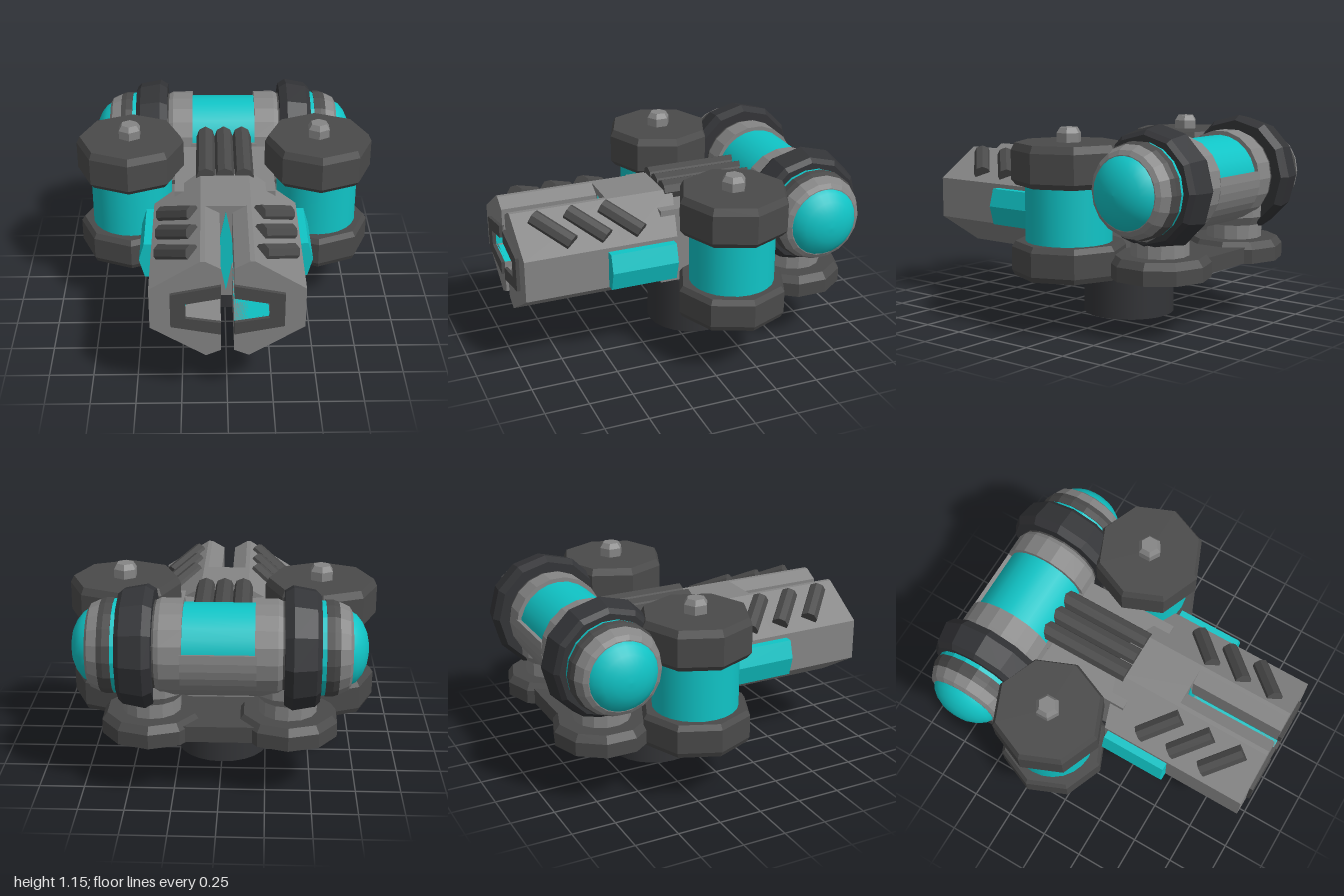
import * as THREE from 'three';

const mat = (color, flatShading = true) =>
  new THREE.MeshStandardMaterial({ color, flatShading, side: THREE.DoubleSide });
const TEAL = mat(0x10c4c6), TEAL_SMOOTH = mat(0x10c4c6, false);
const LIGHT = mat(0x858585), DARK = mat(0x4a4a4a), BLACK = mat(0x333437), BLACK_SMOOTH = mat(0x333437, false);

export function createModel() {
  const model = new THREE.Group();

  const add = (name, geometry, material, x = 0, y = 0, z = 0, parent = model) => {
    const mesh = new THREE.Mesh(geometry, material);
    mesh.name = name;
    mesh.position.set(x, y, z);
    parent.add(mesh);
    return mesh;
  };
  // turned part from [radius, height] pairs
  const lathe = (profile, sides) =>
    new THREE.LatheGeometry(profile.map(([r, h]) => new THREE.Vector2(r, h)), sides);
  // prism along z from [x, y] pairs, side = -1 mirrors it
  const prism = (points, z0, z1, side = 1) => {
    const shape = new THREE.Shape(points.map(([x, y]) => new THREE.Vector2(x * side, y)));
    const geometry = new THREE.ExtrudeGeometry(shape, { depth: z1 - z0, bevelEnabled: false });
    return geometry.translate(0, 0, z0);
  };
  const box = (w, h, d) => new THREE.BoxGeometry(w, h, d);

  // pedestal and lower frame
  add('pedestal', new THREE.CylinderGeometry(0.265, 0.265, 0.34, 24), BLACK_SMOOTH, 0, 0.17, -0.16);
  add('frontCrossPlate', box(0.7, 0.07, 0.3), BLACK, 0, 0.347, -0.16);
  add('rearCrossPlate', box(0.7, 0.09, 0.4), DARK, 0, 0.378, -0.64);
  add('spinePlate', box(0.4, 0.08, 0.5), DARK, 0, 0.372, -0.4);

  // side canisters between octagonal caps, and rear feet
  const cap = [[0, 0], [0.3, 0], [0.315, 0.03], [0.315, 0.16], [0.295, 0.19], [0, 0.19]];
  const topCap = [[0, 0], [0.29, 0], [0.315, 0.03], [0.315, 0.19], [0.295, 0.23], [0, 0.23]];
  const nut = [[0, 0], [0.07, 0], [0.07, 0.05], [0.05, 0.08], [0, 0.08]];
  const foot = [[0, 0], [0.28, 0], [0.28, 0.08], [0.25, 0.12], [0, 0.12]];
  const neck = [[0.16, 0], [0.16, 0.08], [0.2, 0.13], [0.2, 0.2]];
  for (const side of [1, -1]) {
    const x = side * 0.555, z = -0.17;
    add('lowerCap', lathe(cap, 8), DARK, x, 0.31, z);
    add('canister', new THREE.CylinderGeometry(0.24, 0.24, 0.33, 24), TEAL_SMOOTH, x, 0.655, z);
    add('upperCap', lathe(topCap, 8), DARK, x, 0.81, z);
    add('capNut', lathe(nut, 6), LIGHT, x, 1.04, z);
    add('rearFoot', lathe(foot, 10), DARK, side * 0.37, 0.33, -0.65);
    add('rearNeck', lathe(neck, 14), LIGHT, side * 0.37, 0.45, -0.65);
  }

  // rear capsule lying along x
  const capsule = new THREE.Group();
  capsule.name = 'rearCapsule';
  capsule.position.set(0, 0.815, -0.66);
  model.add(capsule);
  const core = new THREE.CylinderGeometry(0.237, 0.237, 0.42, 24).rotateZ(Math.PI / 2);
  add('capsuleCore', core, TEAL_SMOOTH, 0, 0, 0, capsule);
  // shell with an open window over the top
  const shell = new THREE.Shape();
  const a0 = Math.PI * 0.94, a1 = Math.PI * 2.06;
  shell.absarc(0, 0, 0.262, a0, a1, false);
  shell.absarc(0, 0, 0.22, a1, a0, true);
  const shellGeometry = new THREE.ExtrudeGeometry(shell, { depth: 0.4, bevelEnabled: false, curveSegments: 10 });
  add('capsuleShell', shellGeometry.translate(0, 0, -0.2).rotateY(Math.PI / 2), LIGHT, 0, 0, 0, capsule);

  const dome = [[0.2, 0.69], [0.18, 0.725], [0.14, 0.757], [0.09, 0.78], [0.04, 0.79], [0, 0.792]];
  const bands = [
    ['collar', [[0.22, 0.19], [0.262, 0.19], [0.262, 0.31], [0.25, 0.335], [0.2, 0.335]], 18, LIGHT],
    ['groove', [[0.25, 0.33], [0.25, 0.36]], 18, DARK],
    ['bumperRing', [[0.24, 0.345], [0.31, 0.345], [0.337, 0.39], [0.315, 0.51], [0.29, 0.535], [0.24, 0.535]], 12, BLACK],
    ['glowBand', [[0.255, 0.53], [0.255, 0.565]], 18, TEAL],
    ['endBand', [[0.24, 0.56], [0.26, 0.56], [0.26, 0.6], [0.25, 0.63]], 18, DARK],
    ['endCollar', [[0.25, 0.63], [0.225, 0.685], [0.2, 0.7], [0.18, 0.7]], 18, LIGHT],
    ['endDome', dome, 24, TEAL_SMOOTH],
  ];
  for (const turn of [0, Math.PI]) {
    const end = new THREE.Group();
    end.name = 'capsuleEnd';
    end.rotation.y = turn;
    capsule.add(end);
    for (const [name, profile, sides, material] of bands)
      add(name, lathe(profile, sides).rotateZ(-Math.PI / 2), material, 0, 0, 0, end);
  }

  // neck behind the barrel, with three pipes on top
  add('barrelNeck', box(0.58, 0.45, 0.6), LIGHT, 0, 0.62, -0.15);
  for (const x of [-0.11, 0, 0.11])
    add('topPipe', new THREE.CylinderGeometry(0.057, 0.057, 0.55, 8).rotateX(Math.PI / 2), DARK, x, 0.895, -0.2);

  // solid rear of the barrel, its back swept to a blunt point
  const outer = [[0.14, 0.905], [0.41, 0.735], [0.41, 0.495], [0.115, 0.31]];
  const section = [[0, 0.905], ...outer, [0, 0.31],
    ...outer.slice().reverse().map(([x, y]) => [-x, y])];
  const rear = prism(section, 0, 0.42);
  const pos = rear.attributes.position;
  for (let i = 0; i < pos.count; i++)
    if (pos.getZ(i) < 0.01) pos.setZ(i, -0.02 + 0.29 * Math.abs(pos.getX(i)));
  rear.computeVertexNormals();
  add('barrelRear', rear, LIGHT);

  // glowing star on the back wall of the muzzle
  const star = [[0, 0.87], [0.035, 0.69], [0.22, 0.655], [0.22, 0.565], [0.035, 0.535], [0, 0.35],
    [-0.035, 0.535], [-0.22, 0.565], [-0.22, 0.655], [-0.035, 0.69]];
  add('muzzleGlow', prism(star, 0.415, 0.425), TEAL);

  // two prongs split by a slot, each with a notch, lining and frame
  const notch = [[0.035, 0.535], [0.22, 0.565], [0.22, 0.655], [0.035, 0.69]];
  const lining = [...notch, [0.035, 0.697], [0.226, 0.661], [0.226, 0.559], [0.035, 0.528]];
  const frame = [...notch, [0.035, 0.765], [0.3, 0.712], [0.3, 0.512], [0.035, 0.46]];
  const prong = [[0.035, 0.86], [0.115, 0.905], ...outer, [0.035, 0.345], ...notch];
  const panel = [[0.39, 0.5], [0.455, 0.5], [0.485, 0.61], [0.455, 0.712], [0.39, 0.712]];
  const up = new THREE.Vector3(0, 1, 0);
  for (const side of [1, -1]) {
    add('prong', prism(prong, 0.42, 0.98, side), LIGHT);
    add('notchLining', prism(lining, 0.42, 0.979, side), TEAL);
    add('muzzleFrame', prism(frame, 0.97, 1, side), DARK);
    add('sidePanel', prism(panel, 0.12, 0.505, side), TEAL);
    // slanted vents along the sloping top face
    for (let k = 0; k < 3; k++) {
      const from = new THREE.Vector3(side * 0.355, 0.775, 0.29 + 0.2 * k);
      const to = new THREE.Vector3(side * 0.18, 0.88, 0.46 + 0.2 * k);
      const dir = to.clone().sub(from);
      const vent = add('slantedVent', new THREE.CylinderGeometry(0.05, 0.05, dir.length(), 8), DARK);
      vent.position.copy(from).add(to).multiplyScalar(0.5);
      vent.quaternion.setFromUnitVectors(up, dir.normalize());
    }
  }
  return model;
}
